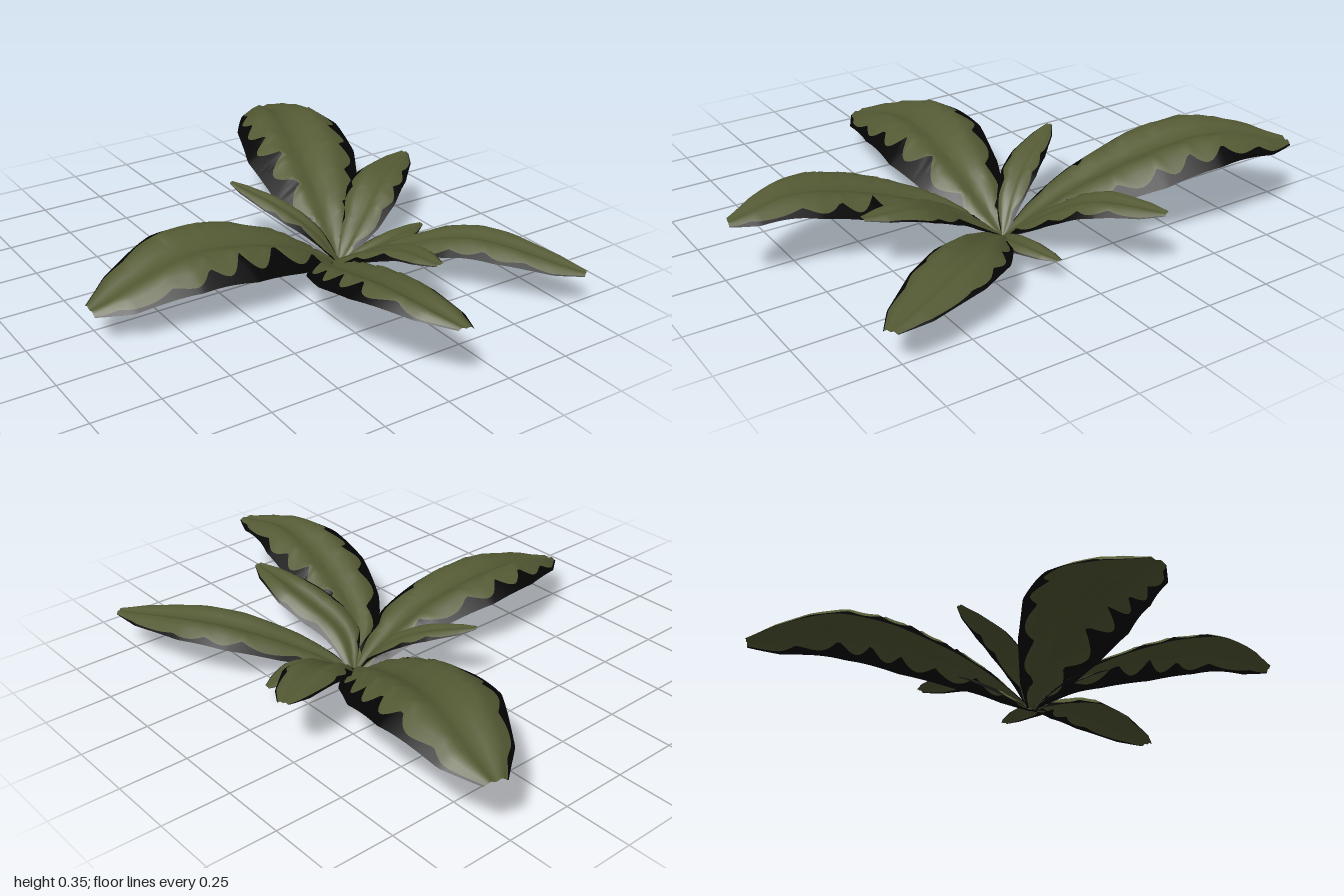
import * as THREE from 'three';

const green = new THREE.MeshStandardMaterial({ color: 0x545a34, side: THREE.DoubleSide });
green.name = 'leaf green';
const dark = new THREE.MeshStandardMaterial({ color: 0x040405, side: THREE.DoubleSide });
dark.name = 'dark leaf margin';

const { lerp } = THREE.MathUtils;
const ROOT = new THREE.Vector3(0.25, 0.01, 0.05);
const STEPS = 80; // rows along a leaf
const EDGE = 2;   // columns in each dark border
const BLADE = 8;  // columns in the green blade

// Width outline shared by all leaves: [distance along the leaf, share of the full width]
const OUTLINE = [[0, 0.08], [0.1, 0.4], [0.28, 0.77], [0.48, 1], [0.67, 0.95], [0.89, 0.57], [1, 0.18]];

function outlineWidth(u) {
  const k = Math.max(1, OUTLINE.findIndex(([at]) => at >= u));
  const [u0, w0] = OUTLINE[k - 1], [u1, w1] = OUTLINE[k];
  return lerp(w0, w1, (u - u0) / (u1 - u0));
}

// Folded section: valley at the midrib, crest halfway out, drooping edge
function sectionHeight(v) {
  const a = Math.abs(v);
  return a < 0.5 ? 0.4 * a : 0.2 - 0.7 * (a - 0.5);
}

// Uneven scalloped border depth along the leaf, fading toward the tip
function borderDepth(u, depth, lobes, phase) {
  const fade = lerp(1.25, 0.25, u);
  const scallop = 1 - Math.abs(Math.sin(Math.PI * (lobes * u + phase + 0.15 * Math.sin(11 * u))));
  const drift = 0.85 + 0.25 * Math.sin(9 * u + phase * 7);
  return 0.04 + depth * fade * drift * (0.3 + 0.8 * scallop);
}

// path: midrib points after the root; half: half width; skew over 1 moves the widest part tipward;
// margins: border depth on both edges; tilt: raises the first edge over the second
function makeLeaf(name, { path, half, margins, skew = 1, tilt = 0 }) {
  const curve = new THREE.CatmullRomCurve3([ROOT, ...path.map((p) => new THREE.Vector3(...p))]);
  const chord = curve.getPoint(1).sub(ROOT).setY(0);
  const lobes = Math.round(1 + 6 * chord.length());
  const across = new THREE.Vector3(chord.z, 0, -chord.x).normalize();
  const columns = EDGE * 2 + BLADE;
  const positions = [], border = [], blade = [];

  for (let i = 0; i <= STEPS; i++) {
    const u = i / STEPS;
    const mid = curve.getPointAt(u);
    const w = half * outlineWidth(u ** skew);
    const inA = -1 + borderDepth(u, margins[0], lobes, 0.2);
    const inB = 1 - borderDepth(u, margins[1], lobes, 0.6);
    for (let j = 0; j <= columns; j++) {
      const k = j - EDGE - BLADE / 2; // column counted from the midrib
      const inner = k < 0 ? inA : inB;
      const c = Math.abs(k) / (BLADE / 2);
      const v = c <= 1 ? inner * c : lerp(inner, Math.sign(k), (c - 1) * BLADE / 2 / EDGE);
      const p = mid.clone().addScaledVector(across, w * v);
      positions.push(p.x, Math.max(0, p.y + w * (sectionHeight(v) - tilt * v)), p.z);

      // Border and blade cells share vertices so the shading stays smooth
      if (i < STEPS && j < columns) {
        const a = i * (columns + 1) + j, b = a + columns + 1;
        const cells = j < EDGE || j >= EDGE + BLADE ? border : blade;
        cells.push(a, b, a + 1, a + 1, b, b + 1);
      }
    }
  }

  const geometry = new THREE.BufferGeometry();
  geometry.setAttribute('position', new THREE.Float32BufferAttribute(positions, 3));
  geometry.setIndex([...blade, ...border]);
  geometry.addGroup(0, blade.length, 0);
  geometry.addGroup(blade.length, border.length, 1);
  geometry.computeVertexNormals();
  const mesh = new THREE.Mesh(geometry, [green, dark]);
  mesh.name = name;
  return mesh;
}

export function createModel() {
  const plant = new THREE.Group();
  plant.name = 'leafyPlant';

  // Large outer leaves
  plant.add(makeLeaf('rightSideLeaf', {
    path: [[-0.03, 0.16, 0.05], [-0.4, 0.222, 0.03], [-0.79, 0.13, 0.07]],
    half: 0.205, margins: [0.5, 0.5], tilt: 0.14,
  }));
  plant.add(makeLeaf('largeBackLeaf', {
    path: [[0.33, 0.17, -0.2], [0.465, 0.315, -0.65], [0.565, 0.25, -0.995]],
    half: 0.225, margins: [0.45, 0.55], skew: 1.05,
  }));
  plant.add(makeLeaf('frontLeaf', {
    path: [[0.1, 0.115, 0.22], [0.01, 0.265, 0.72], [0.055, 0.25, 0.995]],
    half: 0.16, margins: [0.65, 0.55], skew: 1.1, tilt: 0.08,
  }));
  plant.add(makeLeaf('frontLeftLeaf', {
    path: [[0.37, 0.095, 0.19], [0.57, 0.18, 0.41], [0.775, 0.15, 0.8]],
    half: 0.135, margins: [0.3, 0.25],
  }));

  // Short inner leaves
  plant.add(makeLeaf('shortFrontLeaf', {
    path: [[0.19, 0.1, 0.18], [0.25, 0.22, 0.42], [0.262, 0.245, 0.615]],
    half: 0.1, margins: [0.4, 0.2], skew: 0.9,
  }));
  plant.add(makeLeaf('backLeftLeaf', {
    path: [[0.37, 0.11, -0.01], [0.55, 0.225, -0.12], [0.775, 0.245, -0.245]],
    half: 0.11, margins: [0.35, 0.3],
  }));
  plant.add(makeLeaf('smallLeftLeaf', {
    path: [[0.35, 0.06, 0.1], [0.47, 0.09, 0.11], [0.62, 0.09, 0.075]],
    half: 0.065, margins: [0.35, 0.3], skew: 0.85,
  }));
  plant.add(makeLeaf('smallBackLeaf', {
    path: [[0.19, 0.12, -0.02], [0.11, 0.2, -0.13], [0, 0.265, -0.325]],
    half: 0.068, margins: [0.35, 0.3],
  }));
  return plant;
}
